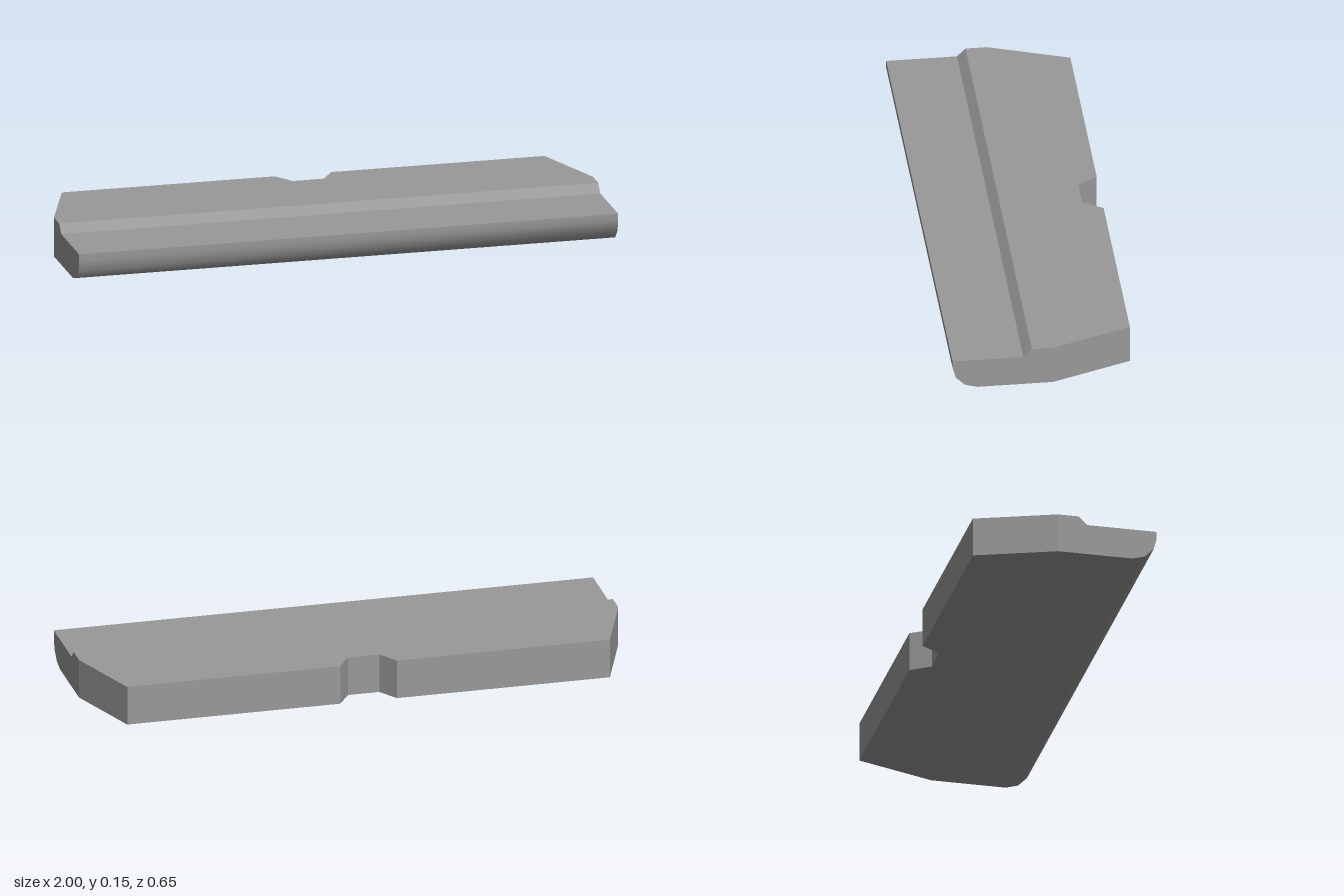
import * as THREE from 'three';
import { toCreasedNormals } from 'three/addons/utils/BufferGeometryUtils.js';

const HEIGHT = 0.146; // thickness of the raised rear half
const SEAM = -0.037;  // z where the straight front meets the tapered rear

const shapeOf = (points) => new THREE.Shape(points.map(([x, y]) => new THREE.Vector2(x, y)));

// Drops the hidden triangles that lie on the seam plane between the two halves
function openSeam(geometry) {
  const p = geometry.attributes.position;
  const kept = [];
  for (let i = 0; i < p.count; i += 3) {
    const onSeam = [0, 1, 2].every((k) => Math.abs(p.getZ(i + k) - SEAM) < 1e-4);
    if (onSeam) continue;
    for (let k = 0; k < 3; k++) kept.push(p.getX(i + k), p.getY(i + k), p.getZ(i + k));
  }
  const open = new THREE.BufferGeometry();
  open.setAttribute('position', new THREE.Float32BufferAttribute(kept, 3));
  open.computeVertexNormals();
  return open;
}

export function createModel() {
  const model = new THREE.Group();
  model.name = 'steppedPlate';
  const grey = new THREE.MeshStandardMaterial({ color: 0x999999 });
  grey.name = 'grey';

  // Front half: stepped side profile (z, y) with a rounded lower lip, swept across x
  const profile = shapeOf([
    [SEAM, 0], [0.237, 0], [0.283, 0.013], [0.316, 0.046], [0.327, 0.088],
    [0.327, 0.115], [0.071, 0.115], [0.04, HEIGHT], [SEAM, HEIGHT],
  ]);
  const frontGeometry = new THREE.ExtrudeGeometry(profile, { depth: 2, bevelEnabled: false });
  frontGeometry.rotateY(-Math.PI / 2).translate(1, 0, 0);
  const front = new THREE.Mesh(toCreasedNormals(openSeam(frontGeometry), 0.61), grey);
  front.name = 'steppedFront';

  // Rear half: plan outline (x, -z) with tapered ends and a central notch, raised along y
  const half = [[1, -SEAM], [0.895, 0.327], [0.105, 0.327], [0.058, 0.255]];
  const mirrored = half.map(([x, y]) => [-x, y]).reverse();
  const rearGeometry = new THREE.ExtrudeGeometry(shapeOf([...half, ...mirrored]), {
    depth: HEIGHT, bevelEnabled: false,
  });
  rearGeometry.rotateX(-Math.PI / 2);
  const rear = new THREE.Mesh(openSeam(rearGeometry), grey);
  rear.name = 'notchedRear';

  model.add(front, rear);
  return model;
}
